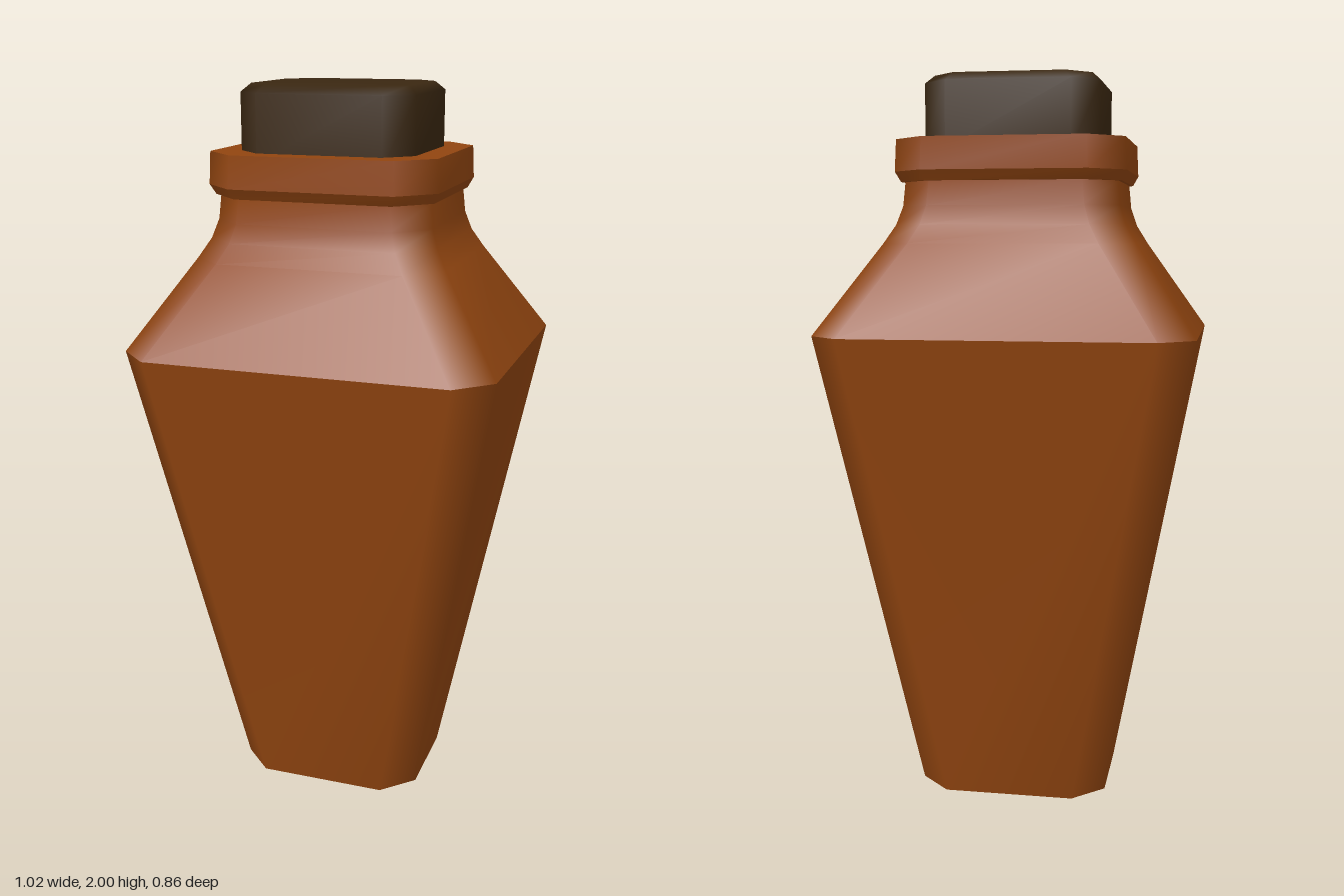
import * as THREE from 'three';

// Rectangle with cut corners, going anticlockwise seen from above
function ring([y, w, d, c]) {
  const p = [[c - w, d], [w - c, d], [w, d - c], [w, c - d]];
  return [...p, ...p.map(([x, z]) => [-x, -z])].map(([x, z]) => [x, y, z]);
}

// Smooth skin through rings [height, half width, half depth, corner cut];
// a ring of zero width closes the skin in a point
function loft(rows) {
  const index = [];
  for (let i = 0; i < rows.length - 1; i++) {
    for (let j = 0; j < 8; j++) {
      const a = i * 8 + j, b = i * 8 + (j + 1) % 8;
      if (rows[i][1] > 0) index.push(a, b, b + 8);
      if (rows[i + 1][1] > 0) index.push(a, b + 8, a + 8);
    }
  }
  const geometry = new THREE.BufferGeometry();
  geometry.setAttribute('position', new THREE.Float32BufferAttribute(rows.flatMap(ring).flat(2), 3));
  geometry.setIndex(index);
  geometry.computeVertexNormals();
  return geometry;
}

export function createModel() {
  const group = new THREE.Group();
  const glass = new THREE.MeshStandardMaterial({ name: 'amber brown', color: 0x914510 });
  const cork = new THREE.MeshStandardMaterial({ name: 'dark cork', color: 0x3a2711 });
  const add = (name, material, rows) => {
    const mesh = new THREE.Mesh(loft(rows), material);
    mesh.name = name;
    group.add(mesh);
  };

  // Edges of the bottle, shared by neighbouring parts
  const base = [0, 0.265, 0.21, 0.085];
  const shoulder = [1.305, 0.51, 0.43, 0.093];
  const neckTop = [1.715, 0.29, 0.253, 0.085];
  const lipUnder = [1.715, 0.3, 0.265, 0.088];
  const lipLow = [1.742, 0.314, 0.281, 0.092];
  const lipTop = [1.828, 0.31, 0.278, 0.091];

  // Tapered bottle
  add('bottleBase', glass, [[0, 0, 0, 0], base]);
  add('bottleBody', glass, [base, shoulder]);
  add('bottleShoulder', glass, [
    shoulder,
    [1.55, 0.343, 0.3, 0.09],
    [1.6, 0.313, 0.273, 0.087],
    [1.65, 0.296, 0.258, 0.085],
    neckTop,
  ]);

  // Lip around the neck
  add('lipUnderside', glass, [neckTop, lipUnder]);
  add('lipBevel', glass, [lipUnder, lipLow]);
  add('lipBand', glass, [lipLow, lipTop]);
  add('lipTop', glass, [lipTop, [1.828, 0.2, 0.18, 0.06]]);

  // Stopper with a softened upper edge
  add('stopper', cork, [
    [1.8, 0.239, 0.212, 0.07],
    [1.978, 0.239, 0.212, 0.07],
    [2, 0.215, 0.19, 0.065],
    [2, 0, 0, 0],
  ]);
  return group;
}
